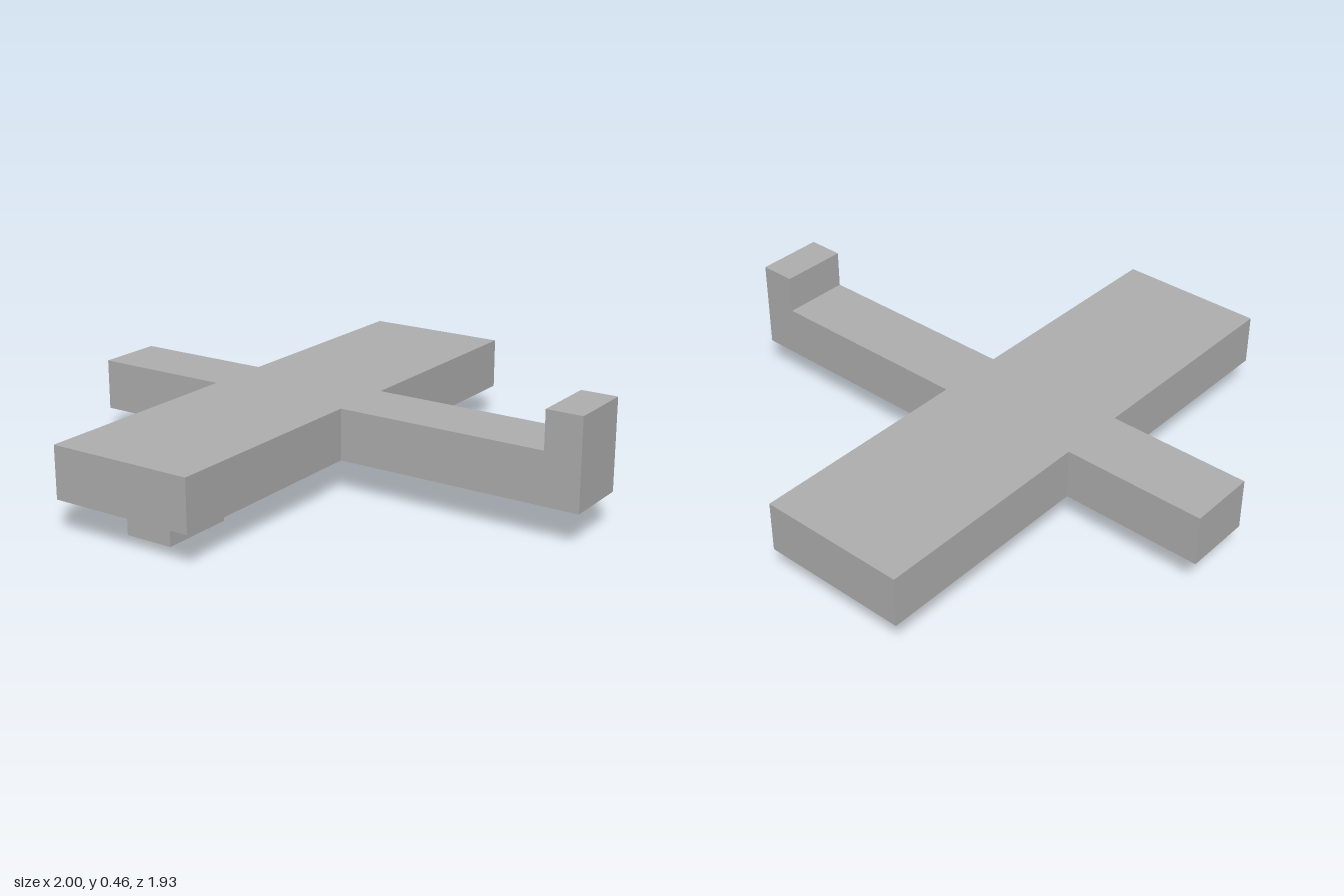
import * as THREE from 'three';

const gray = new THREE.MeshStandardMaterial({ color: 0xb0b0b0 });
gray.name = 'plain gray';

// Rectangle corners, counter-clockwise
const rect = (x0, x1, y0, y1) =>
  [[x0, y0], [x1, y0], [x1, y1], [x0, y1]].map(([x, y]) => new THREE.Vector2(x, y));

// Flat outline in plan, raised from y0 to y1
function slab(name, shape, y0, y1) {
  const geometry = new THREE.ExtrudeGeometry(shape, { depth: y1 - y0, bevelEnabled: false });
  geometry.rotateX(-Math.PI / 2).translate(0, y0, 0);
  const mesh = new THREE.Mesh(geometry, gray);
  mesh.name = name;
  return mesh;
}

export function createModel() {
  const model = new THREE.Group();
  model.name = 'blockAirplane';

  // Wing and fuselage share one cross-shaped slab
  const f = 0.126, w = 0.967, back = -0.47, front = 0.08;
  const cross = new THREE.Shape([
    [-1, -f], [back, -f], [back, -w], [front, -w], [front, -f], [1, -f],
    [1, f], [front, f], [front, w], [back, w], [back, f], [-1, f],
  ].map(([x, z]) => new THREE.Vector2(x, z)));
  model.add(slab('wingAndFuselage', cross, 0.126, 0.316));

  // Upright tail block
  model.add(slab('tailFin', new THREE.Shape(rect(0.867, 1, -f, f)), 0.316, 0.456));

  // Feet under the wing tips, each with a rectangular recess below
  for (const side of [1, -1]) {
    const foot = new THREE.Group();
    foot.name = side > 0 ? 'frontFoot' : 'backFoot';
    const x0 = -0.285, x1 = -0.102, z = 0.1395, wall = 0.045;
    const rim = new THREE.Shape(rect(x0, x1, -z, z));
    rim.holes.push(new THREE.Path(rect(x0 + wall, x1 - wall, -z + wall, z - wall).reverse()));
    foot.add(slab('footRim', rim, 0, 0.05));
    foot.add(slab('footBlock', new THREE.Shape(rect(x0, x1, -z, z)), 0.05, 0.126));
    foot.position.z = side * 0.6975;
    model.add(foot);
  }
  return model;
}
